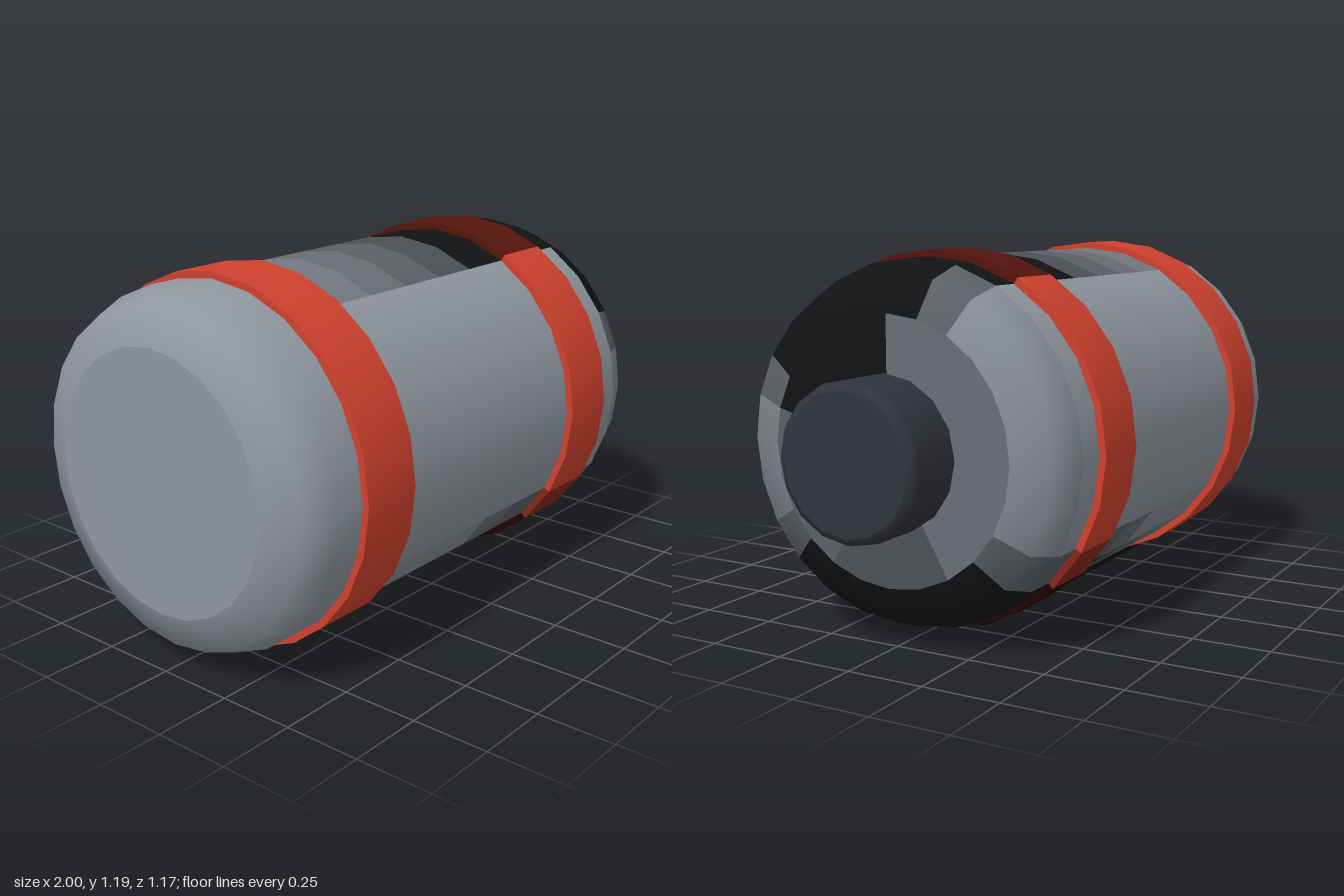
import * as THREE from 'three';
import { mergeVertices, toCreasedNormals } from 'three/addons/utils/BufferGeometryUtils.js';
import { RoundedBoxGeometry } from 'three/addons/geometries/RoundedBoxGeometry.js';

const AXIS_Y = 0.598;
const GREY = 0x8f969f, RED = 0xd0412e, DARK = 0x30333b, BLACK = 0x0f1013;
const LEVELS = 8;

// Soot on tank and straps, 0 clean to 1 black; angle in degrees from the top towards the front
function tankSoot(x, angle) {
  const along = THREE.MathUtils.clamp((x + 0.82) / 1.1, 0, 1);
  const fromBottom = 180 - Math.abs(angle);
  if (fromBottom < 45) return along;
  if (fromBottom < 60) return along * (x > 0 ? 0.6 : 0.2);
  if (x < 0.64) return Math.abs(angle) < 30 ? along : 0;
  if (angle > -15 && angle < 60) return 1;
  if (angle > -30 && angle < 75) return 0.6;
  return angle > 0 ? 0.25 : 0.12;
}

// Soot on the flat end around the cap
function endSoot(x, angle) {
  if (angle > 0 && angle < 75) return 0.95;
  if (Math.abs(angle) > 150) return 0.75;
  return angle > 0 ? 0.62 : 0.45;
}

const strapSoot = (x, angle) => tankSoot(x, angle) * (Math.abs(angle) < 90 ? 0.85 : 1);

export function createModel() {
  const group = new THREE.Group();

  const add = (name, geometry, color, x = 0, y = AXIS_Y) => {
    const mesh = new THREE.Mesh(geometry, new THREE.MeshStandardMaterial({ color }));
    mesh.name = name;
    mesh.position.set(x, y, 0);
    group.add(mesh);
  };

  // Sorts the quads of a turned surface into shades, one mesh for each shade
  const addSooty = (name, geometry, color, soot) => {
    const index = geometry.index.array;
    const position = geometry.attributes.position;
    const shades = new Map();
    for (let i = 0; i < index.length; i += 6) {
      const quad = Array.from(index.slice(i, i + 6));
      const centre = new THREE.Vector3();
      for (const v of quad) centre.add(new THREE.Vector3().fromBufferAttribute(position, v));
      centre.divideScalar(quad.length);
      const angle = THREE.MathUtils.radToDeg(Math.atan2(centre.z, centre.y));
      const level = Math.round(soot(centre.x, angle) * LEVELS);
      if (!shades.has(level)) shades.set(level, []);
      shades.get(level).push(...quad);
    }
    for (const [level, faces] of shades) {
      const part = geometry.clone();
      part.setIndex(faces);
      add(name, part, new THREE.Color(color).multiplyScalar(1 - 0.98 * level / LEVELS));
    }
  };

  // Turns a [radius, x] profile around the x axis
  const turned = (profile, sides) =>
    new THREE.LatheGeometry(profile.map(([r, x]) => new THREE.Vector2(r, x)), sides).rotateZ(-Math.PI / 2);

  // Flat end disc facing +x (dir 1) or -x (dir -1)
  const disc = (radius, sides, dir) =>
    new THREE.CircleGeometry(radius, sides).rotateY(dir * Math.PI / 2);

  // Tank with rounded shoulders and flat ends
  const barrel = [-0.855, -0.7, -0.54, -0.37, -0.2, -0.03, 0.14, 0.33, 0.64].map((x) => [0.565, x]);
  addSooty('tankBody', turned([
    [0.41, -1], [0.525, -0.957], ...barrel, [0.525, 0.747], [0.41, 0.788],
  ], 24), GREY, tankSoot);
  addSooty('tankLeftEnd', new THREE.RingGeometry(0.2, 0.41, 24, 1)
    .rotateY(Math.PI / 2).translate(0.788, 0, 0), GREY, endSoot);
  add('tankRightEnd', disc(0.41, 24, -1), GREY, -1);

  // Two straps around the tank, the left one sooty
  const strap = (x) => mergeVertices(toCreasedNormals(turned([
    [0.55, x - 0.105], [0.587, x - 0.105], [0.587, x + 0.105], [0.55, x + 0.105],
  ], 24), 0.6));
  add('rightStrap', strap(-0.643), RED);
  addSooty('leftStrap', strap(0.431), RED, strapSoot);

  // Valve cap with softened rims
  add('cap', turned([
    [0.22, 0.78], [0.238, 0.8], [0.238, 0.97], [0.232, 0.99], [0.212, 1],
  ], 16), DARK);
  add('capEnd', disc(0.212, 16, 1), DARK, 1);

  // Long foot under the tank
  add('foot', new RoundedBoxGeometry(1.18, 0.1, 0.34, 2, 0.045), BLACK, -0.105, 0.05);

  return group;
}
